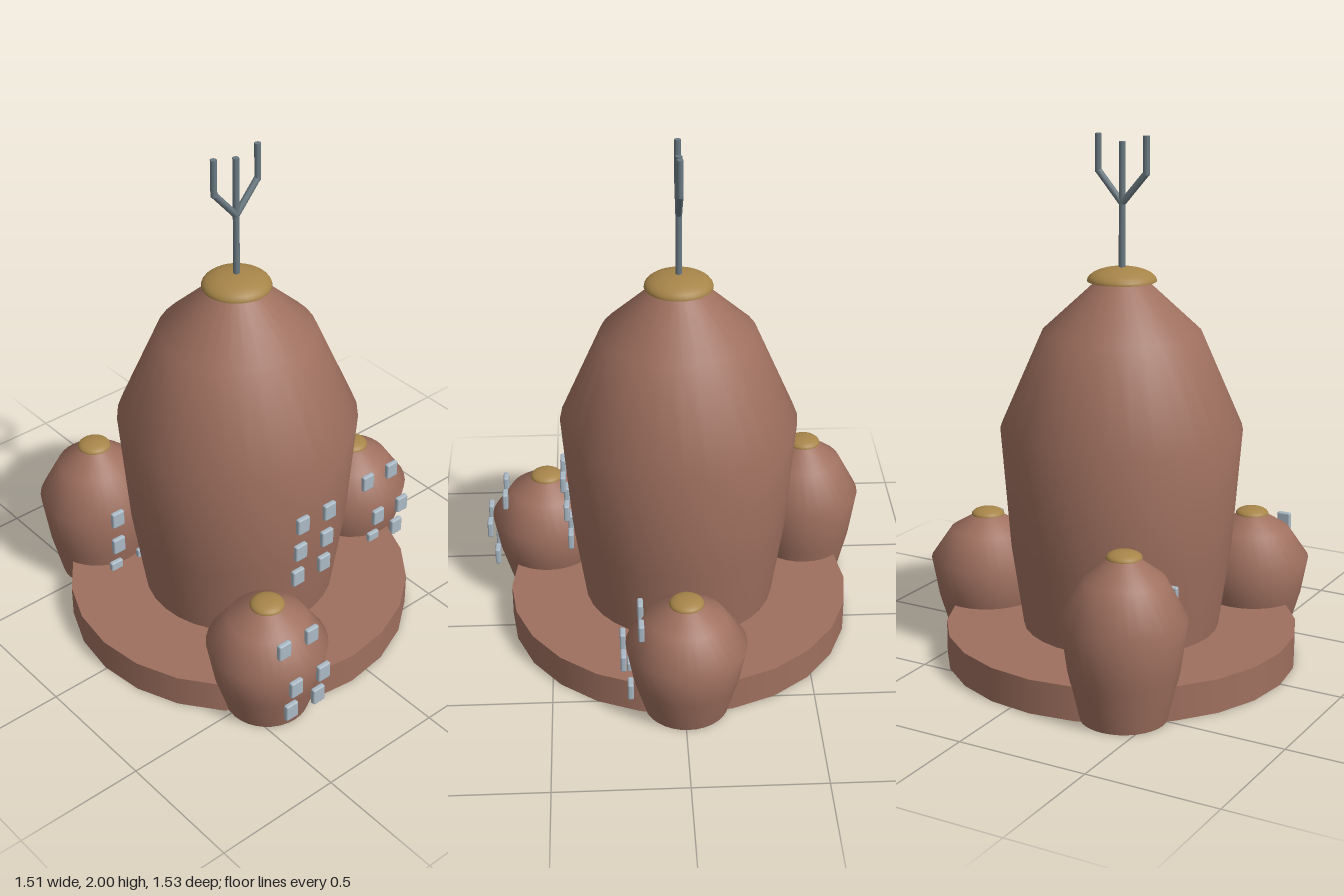
import * as THREE from 'three';
import { RoundedBoxGeometry } from 'three/addons/geometries/RoundedBoxGeometry.js';

const mat = (name, color) => {
  const m = new THREE.MeshStandardMaterial({ color });
  m.name = name;
  return m;
};

export function createModel() {
  const clay = mat('clay', 0x9f705f);
  const brass = mat('brass', 0xa78549);
  const glass = mat('window glass', 0xaab9c5);
  const steel = mat('steel', 0x6a7a82);

  const add = (parent, name, geometry, material, x = 0, y = 0, z = 0) => {
    const m = new THREE.Mesh(geometry, material);
    m.name = name;
    m.position.set(x, y, z);
    parent.add(m);
    return m;
  };

  // Flat disc facing down, to close a round part
  const underside = (r) => new THREE.CircleGeometry(r, 32).rotateX(Math.PI / 2);

  const windowGeometry = new RoundedBoxGeometry(0.056, 0.07, 0.022, 2, 0.007);

  // Bulging tower with a domed cap and two columns of front windows
  function tower(name, radius, height, foot, capRadius, rows) {
    const g = new THREE.Group();
    g.name = name;
    const profile = [[foot, 0], [(foot + 1.06) / 2, 0.3], [1, 0.62], [0.65, 0.87], [0.2, 1]]
      .map(([r, y]) => new THREE.Vector2(r * radius, y * height));
    add(g, 'towerBody', new THREE.LatheGeometry(profile, 32), clay);
    add(g, 'towerUnderside', underside(foot * radius), clay);

    const dome = new THREE.SphereGeometry(capRadius, 32, 8, 0, Math.PI * 2, 0, Math.PI / 2);
    dome.scale(1, 0.4, 1);
    add(g, 'cap', dome, brass, 0, height - 0.003, 0);
    add(g, 'capUnderside', underside(capRadius), brass, 0, height - 0.003, 0);

    // Radius of the wall at a given height
    const wall = (y) => {
      const i = Math.max(1, profile.findIndex((p) => p.y >= y));
      const a = profile[i - 1], b = profile[i];
      return THREE.MathUtils.mapLinear(y, a.y, b.y, a.x, b.x);
    };
    for (const y of rows)
      for (const side of [-1, 1])
        add(g, 'window', windowGeometry, glass, side * 0.066, y, wall(y) + 0.014);
    return g;
  }

  const model = new THREE.Group();
  model.name = 'towerComplex';
  const complex = new THREE.Group();
  complex.name = 'complex';
  complex.position.set(-0.085, 0, -0.008);
  model.add(complex);

  // Round base
  add(complex, 'base', new THREE.CylinderGeometry(0.675, 0.675, 0.13, 24), clay, 0, 0.065, 0);

  // Main tower and three small ones around it
  complex.add(tower('mainTower', 0.457, 1.466, 0.78, 0.13, [0.4, 0.53, 0.663]));
  [0.467, 0.467, 0.599].forEach((height, i) => {
    const a = (i * Math.PI * 2) / 3;
    const t = tower('smallTower', 0.228, height, 0.7, 0.065, [0.13, 0.262, 0.395]);
    // i = 0 right side, 1 front, 2 back
    t.position.set(0.61 * Math.cos(a), 0, 0.61 * Math.sin(a));
    complex.add(t);
  });

  // Three-pronged antenna
  const antenna = new THREE.Group();
  antenna.name = 'antenna';
  complex.add(antenna);
  const rod = (name, x0, y0, x1, y1) => {
    const dx = x1 - x0, dy = y1 - y0;
    const m = add(antenna, name, new THREE.CylinderGeometry(0.0125, 0.0125, Math.hypot(dx, dy), 10),
      steel, (x0 + x1) / 2, (y0 + y1) / 2, 0);
    m.rotation.z = -Math.atan2(dx, dy);
  };
  rod('mast', 0, 1.49, 0, 1.975);
  for (const s of [-1, 1]) {
    rod('antennaArm', 0, 1.75, s * 0.1, 1.865);
    rod('antennaProng', s * 0.1, 1.858, s * 0.1, 2);
  }
  return model;
}
